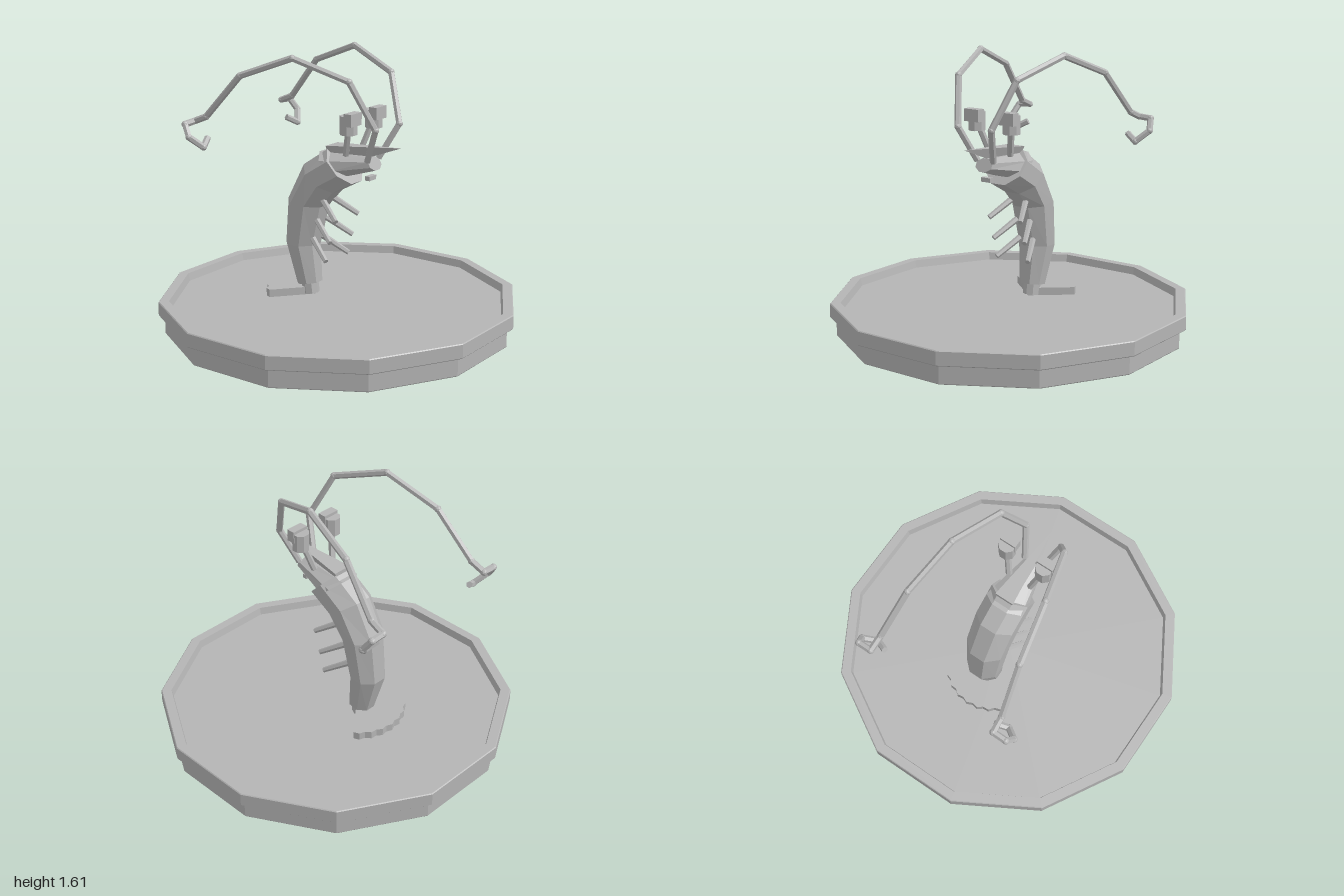
import * as THREE from 'three';
import { ConvexGeometry } from 'three/addons/geometries/ConvexGeometry.js';

const V = (x, y, z) => new THREE.Vector3(x, y, z);

// Faceted normals for the low-poly look
function facet(geo) {
  const g = geo.index ? geo.toNonIndexed() : geo;
  g.computeVertexNormals();
  return g;
}

// Octagonal loft; each ring is [backZ, backY, frontZ, frontY, halfWidth]
function loft(rings) {
  const n = 8, pos = [], idx = [];
  const k = 1 / Math.cos(Math.PI / n);
  for (const [bz, by, fz, fy, hw] of rings) {
    for (let j = 0; j < n; j++) {
      const t = ((j + 0.5) * 2 * Math.PI) / n;
      const u = (k * Math.cos(t)) / 2;
      pos.push(-k * Math.sin(t) * hw, (by + fy) / 2 + (by - fy) * u, (bz + fz) / 2 + (bz - fz) * u);
    }
  }
  for (let i = 0; i < rings.length - 1; i++) {
    for (let j = 0; j < n; j++) {
      const a = i * n + j, b = i * n + ((j + 1) % n);
      idx.push(a, b, a + n, b, b + n, a + n);
    }
  }
  const last = (rings.length - 1) * n;
  for (let j = 1; j < n - 1; j++) {
    idx.push(0, j + 1, j, last, last + j, last + j + 1);
  }
  const g = new THREE.BufferGeometry();
  g.setAttribute('position', new THREE.Float32BufferAttribute(pos, 3));
  g.setIndex(idx);
  return g;
}

// Straight rod between two points
function rod(a, b, r0, r1, sides = 6) {
  const dir = b.clone().sub(a);
  const g = new THREE.CylinderGeometry(r1, r0, dir.length(), sides);
  g.applyQuaternion(new THREE.Quaternion().setFromUnitVectors(V(0, 1, 0), dir.normalize()));
  const m = a.clone().add(b).multiplyScalar(0.5);
  return g.translate(m.x, m.y, m.z);
}

export function createModel() {
  const root = new THREE.Group();
  const grey = new THREE.MeshStandardMaterial({ color: 0xb4b4b4 });
  grey.name = 'grey';
  const add = (name, geo, parent = root) => {
    const mesh = new THREE.Mesh(facet(geo), grey);
    mesh.name = name;
    parent.add(mesh);
    return mesh;
  };

  // Twelve-sided stepped base with a raised rim
  const profile = [
    [0, 0], [0.996, 0], [1.0, 0.005], [1.0, 0.11], [1.03, 0.11], [1.035, 0.115],
    [1.035, 0.19], [1.03, 0.195], [0.975, 0.195], [0.965, 0.15], [0, 0.15],
  ].map(([x, y]) => new THREE.Vector2(x, y));
  add('base', new THREE.LatheGeometry(profile, 12, Math.PI / 12));

  // Curved, segmented abdomen
  add('abdomen', loft([
    [-0.28, 0.215, -0.14, 0.235, 0.07],
    [-0.35, 0.455, -0.16, 0.46, 0.1],
    [-0.325, 0.725, -0.1, 0.7, 0.115],
    [-0.21, 0.94, -0.01, 0.8, 0.12],
    [-0.045, 1.05, 0.125, 0.873, 0.12],
  ]));

  // Tapered head shell and pointed beak
  add('head', loft([
    [-0.1, 1.03, 0.05, 0.9, 0.115],
    [0.23, 1.035, 0.265, 0.965, 0.055],
  ]));
  add('beak', new ConvexGeometry([
    V(-0.115 / 2, 1.07, -0.05), V(0.115 / 2, 1.07, -0.05), V(0, 0.93, -0.05), V(0, 1.108, 0.42),
  ]));
  add('mouth', new THREE.BoxGeometry(0.065, 0.025, 0.03).translate(0, 0.915, 0.22));

  // Scalloped tail fan
  const fan = new THREE.Shape();
  fan.moveTo(0, 0.17);
  const steps = 14;
  for (let i = 0; i <= steps; i++) {
    const t = ((i / steps) * 2 - 1) * -0.87;
    const r = i % 2 ? 0.285 : 0.272;
    fan.lineTo(r * Math.sin(t), 0.17 + r * Math.cos(t));
  }
  const fanGeo = new THREE.ExtrudeGeometry(fan, { depth: 0.045, bevelEnabled: false });
  add('tailFan', fanGeo.rotateX(-Math.PI / 2).translate(0, 0.155, 0));
  add('tailJoint', rod(V(0, 0.16, -0.2), V(0, 0.23, -0.21), 0.05, 0.05, 8));

  // Paired parts on both sides
  const antennaPath = [
    [0.055, 1.02, 0.235], [0.115, 1.215, 0.33], [0.2, 1.48, 0.215], [0.29, 1.59, -0.1],
    [0.35, 1.47, -0.42], [0.39, 1.22, -0.64], [0.395, 1.185, -0.725], [0.475, 1.18, -0.725],
    [0.495, 1.115, -0.68], [0.43, 1.052, -0.63], [0.36, 1.09, -0.66],
  ];
  for (const s of [1, -1]) {
    const side = s > 0 ? 'left' : 'right';

    // Long hooked antenna
    const antenna = new THREE.Group();
    antenna.name = side + 'Antenna';
    root.add(antenna);
    const pts = antennaPath.map(([x, y, z]) => V(s * x, y, z));
    for (let i = 0; i < pts.length - 1; i++) {
      add('antennaSegment', rod(pts[i], pts[i + 1], 0.019, 0.019), antenna);
      if (i > 0) {
        add('antennaJoint', new THREE.IcosahedronGeometry(0.02, 1).translate(...pts[i].toArray()), antenna);
      }
    }

    // Stalked eye with a raised cap
    const eye = new THREE.Group();
    eye.name = side + 'Eye';
    root.add(eye);
    add('eyeStalk', rod(V(s * 0.07, 1.04, 0.1), V(s * 0.11, 1.19, 0.145), 0.019, 0.019), eye);
    add('eyeBall', new THREE.CylinderGeometry(0.05, 0.05, 0.105, 8)
      .rotateY(Math.PI / 8).translate(s * 0.12, 1.225, 0.155), eye);
    add('eyeCap', new THREE.BoxGeometry(0.1, 0.07, 0.05).translate(s * 0.12, 1.26, 0.182), eye);

    // Three short legs
    for (const [y, z] of [[0.75, -0.08], [0.62, -0.12], [0.505, -0.15]]) {
      add(side + 'Leg', rod(V(s * 0.045, y, z), V(s * 0.11, y - 0.095, z + 0.14), 0.019, 0.015));
    }
  }
  return root;
}
